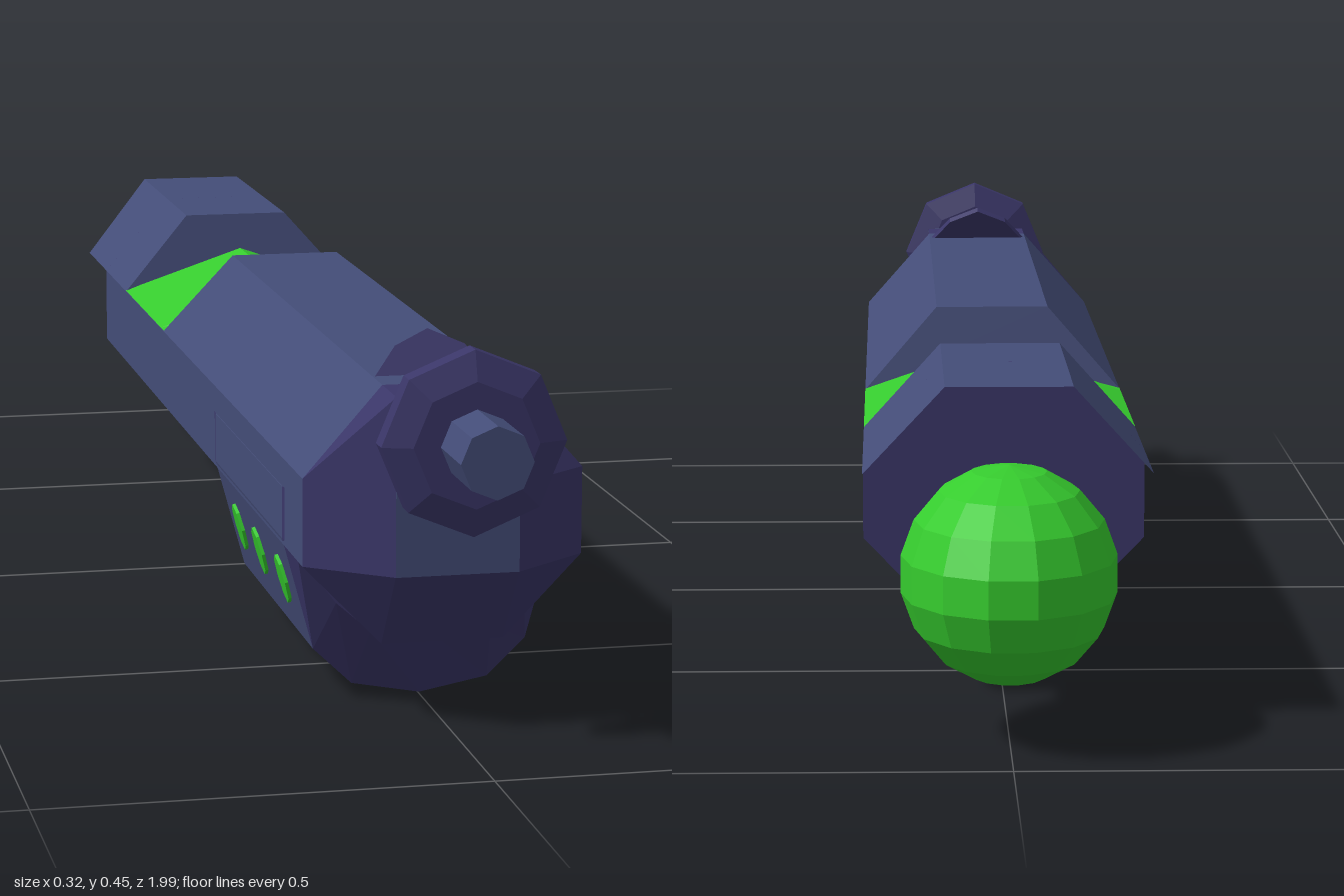
import * as THREE from 'three';

const mat = (name, color, extra = {}) => {
  const m = new THREE.MeshStandardMaterial({ color, flatShading: true, ...extra });
  m.name = name;
  return m;
};

// Skin a run of rings, ordered front to back, each anticlockwise seen from +z.
function loft(rings, { closed = true, front = false, back = false } = {}) {
  const n = rings[0].length, pos = rings.flat(2), idx = [];
  for (let r = 0; r < rings.length - 1; r++) {
    for (let i = 0; i < (closed ? n : n - 1); i++) {
      const j = (i + 1) % n, a = r * n, b = a + n;
      idx.push(a + i, b + i, b + j, a + i, b + j, a + j);
    }
  }
  const last = (rings.length - 1) * n;
  for (let i = 1; i < n - 1; i++) {
    if (front) idx.push(0, i, i + 1);
    if (back) idx.push(last, last + i + 1, last + i);
  }
  const g = new THREE.BufferGeometry();
  g.setAttribute('position', new THREE.Float32BufferAttribute(pos, 3));
  g.setIndex(idx);
  const flat = g.toNonIndexed();
  flat.computeVertexNormals();
  return flat;
}

// Full outline from its right half, listed bottom to top
const mirror = half => [...half, ...half.filter(p => p[0] > 0).reverse().map(([x, y]) => [-x, y])];
// Place an outline at a depth; z may depend on height
const at = (pts, z) => pts.map(([x, y]) => [x, y, typeof z === 'function' ? z(y) : z]);

export function createModel() {
  const group = new THREE.Group();
  const navy = mat('navy', 0x444d78);
  const navyShell = mat('navy shell', 0x444d78, { side: THREE.DoubleSide });
  const purple = mat('purple', 0x3a3668);
  const green = mat('green', 0x36cc2e);
  const add = (name, geo, material) => {
    const m = new THREE.Mesh(geo, material);
    m.name = name;
    group.add(m);
    return m;
  };

  const lower = mirror([[0.07, 0.09], [0.16, 0.183], [0.16, 0.283]]);
  const upper = mirror([[0.16, 0.283], [0.07, 0.385]]);
  const octagon = mirror([[0.07, 0.09], [0.16, 0.183], [0.16, 0.283], [0.07, 0.385]]);
  const noseRing = octagon.map(([x, y]) => [Math.sign(x) * 0.07, Math.max(y, 0.183)]);
  const slope = (low, high) => y => (y > 0.3 ? high : low);

  // Body: full-length lower hull with two upper covers
  add('lowerBody', loft([at(lower, 0.76), at(lower, -0.64)], { front: true }), navy);
  add('bodyRearWall', loft([at(octagon, -0.6399), at(octagon, -0.64)], { back: true }), purple);
  add('upperBody', loft([at(upper, 0.76), at(upper, slope(-0.15, -0.13))], { back: true }), navy);
  add('rearUpperBody', loft([at(upper, slope(-0.46, -0.48)), at(upper, -0.64)], { front: true }), navy);
  add('rearHood', loft([at(upper, -0.64), at(upper, slope(-0.8, -0.84))], { closed: false }), navyShell);

  // Bevelled nose and its flat end
  add('noseBevel', loft([at(noseRing, 0.83), at(octagon, 0.76)]), purple);
  const end = mirror([[0.07, 0.183], [0.07, 0.385]]);
  add('noseFace', loft([at(end, 0.8305), at(end, 0.83)], { front: true }), navy);

  // Ridged green insert between the upper covers
  const ridge = [[0.16, 0.284], [0, 0.342], [-0.16, 0.284]];
  const ridgeEnd = [[0.16, 0.284], [0, 0.325], [-0.16, 0.284]];
  add('greenInsert', loft([at(ridgeEnd, -0.148), at(ridge, -0.17), at(ridge, -0.445), at(ridgeEnd, -0.464)],
    { front: true, back: true }), green);

  // Barrel and its chamfered collar
  const barrel = add('barrel', new THREE.CylinderGeometry(0.04, 0.04, 0.2, 8), navy);
  barrel.rotation.x = Math.PI / 2;
  barrel.position.set(0, 0.345, 0.9);
  const profile = [[0, -0.024], [0.07, -0.024], [0.103, -0.013], [0.103, 0.013], [0.07, 0.024], [0, 0.024]];
  const collar = add('barrelCollar',
    new THREE.LatheGeometry(profile.map(p => new THREE.Vector2(...p)), 8), purple);
  collar.rotation.x = Math.PI / 2;
  collar.position.set(0, 0.345, 0.887);

  // Front sight: thin fin leaning back
  const fin = new THREE.Shape([[-0.07, -0.01], [0.07, -0.01], [0.04, 0.03], [0, 0.05], [-0.04, 0.03]]
    .map(p => new THREE.Vector2(...p)));
  const sight = add('frontSight',
    new THREE.ExtrudeGeometry(fin, { depth: 0.009, bevelEnabled: false }), purple);
  sight.rotation.x = -0.6;
  sight.position.set(0, 0.385, 0.7);

  // Hand guard: wide middle, tapered ends sinking into the body
  const guard = mirror([[0, 0], [0.08, 0.015], [0.125, 0.058], [0.161, 0.19], [0.161, 0.25]]);
  const guardEnd = mirror([[0, 0.085], [0.07, 0.09], [0.11, 0.125], [0.155, 0.185], [0.155, 0.255]]);
  const frontZ = 0.65, backZ = 0.235;
  add('handGuard', loft([at(guard, frontZ), at(guard, backZ)]), navy);
  add('handGuardFront', loft([at(guardEnd, 0.705), at(guard, frontZ)], { front: true }), purple);
  add('handGuardBack', loft([at(guard, backZ), at(guardEnd, 0.175)], { back: true }), purple);

  // Green vents: a spot on each side and a strip wrapped under the guard
  const strip = [[-0.126, 0.056], [-0.081, 0.012], [0, -0.002], [0.081, 0.012], [0.126, 0.056]];
  const tilt = Math.atan2(0.036, 0.132);
  for (const z of [0.575, 0.437, 0.312]) {
    add('underVent', loft([at(strip, z + 0.026), at(strip, z - 0.026)], { closed: false }), green);
    for (const s of [1, -1]) {
      const spot = add('sideVent', new THREE.CylinderGeometry(0.03, 0.03, 0.008, 8), green);
      spot.scale.z = 0.72;
      spot.rotation.z = -s * (Math.PI / 2 + tilt);
      spot.position.set(s * 0.143, 0.124, z);
    }
  }

  // Green bulb behind the body
  const bulb = add('rearBulb', new THREE.SphereGeometry(1, 14, 9), green);
  bulb.scale.set(0.12, 0.12, 0.16);
  bulb.position.set(0, 0.18, -0.84);

  return group;
}
